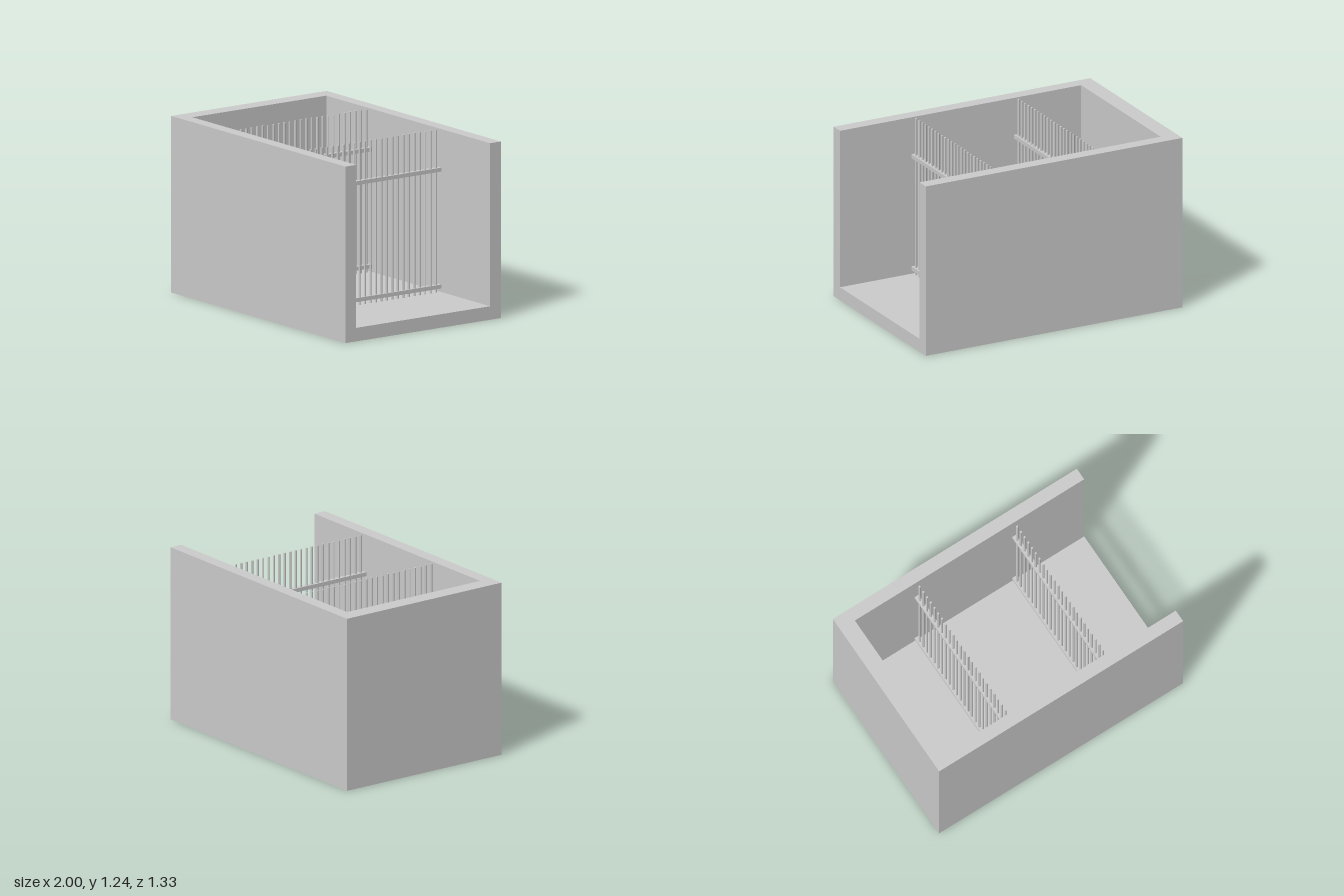
import * as THREE from 'three';

const W = 1, D = 0.665, H = 1.24;             // outer half width, half depth, height
const FLOOR = 0.095, BACK = -0.88, IN = 0.573; // floor top, inner end wall, inner half depth
const BARS = 24, PITCH = 0.0467;

export function createModel() {
  const model = new THREE.Group();
  const material = new THREE.MeshStandardMaterial({ color: 0xcccccc, flatShading: true });

  const add = (parent, name, geometry, x, y, z) => {
    const mesh = new THREE.Mesh(geometry, material);
    mesh.name = name;
    mesh.position.set(x, y, z);
    parent.add(mesh);
    return mesh;
  };

  // U-shaped walls, open at the +x end
  const plan = new THREE.Shape([
    [W, -D], [W, -IN], [BACK, -IN], [BACK, IN], [W, IN], [W, D], [-W, D], [-W, -D],
  ].map(([x, y]) => new THREE.Vector2(x, y)));
  const walls = new THREE.ExtrudeGeometry(plan, { depth: H - FLOOR, bevelEnabled: false });
  walls.rotateX(-Math.PI / 2);
  add(model, 'channelWalls', walls, 0, FLOOR, 0);

  // Floor slab
  add(model, 'floorSlab', new THREE.BoxGeometry(2 * W, FLOOR, 2 * D), 0, FLOOR / 2, 0);

  // Two screens: a row of round bars held by two cross rails
  const barGeometry = new THREE.CylinderGeometry(0.008, 0.008, H - FLOOR, 8);
  const railGeometry = new THREE.BoxGeometry(0.033, 0.028, 2 * IN);
  [['innerScreen', -0.373], ['outerScreen', 0.427]].forEach(([name, x]) => {
    const screen = new THREE.Group();
    screen.name = name;
    screen.position.x = x;
    for (let i = 0; i < BARS; i++) {
      add(screen, 'bar', barGeometry, 0, (H + FLOOR) / 2, (i - (BARS - 1) / 2) * PITCH);
    }
    add(screen, 'lowerRail', railGeometry, 0, 0.135, 0);
    add(screen, 'upperRail', railGeometry, 0, 0.956, 0);
    model.add(screen);
  });

  return model;
}
